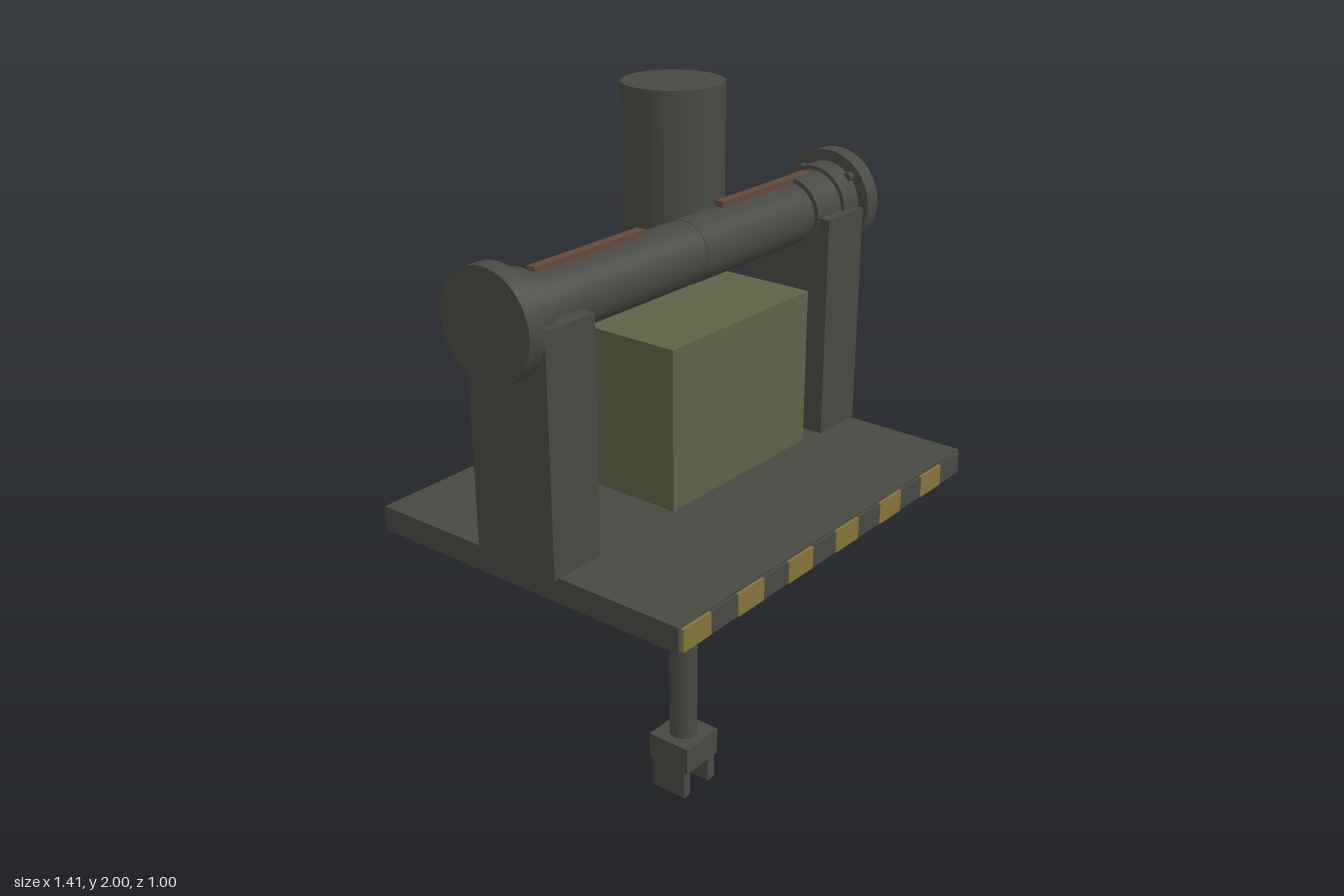
import * as THREE from 'three';

const paint = (name, color) => {
  const m = new THREE.MeshStandardMaterial({ color });
  m.name = name;
  return m;
};

export function createModel() {
  const model = new THREE.Group();
  model.name = 'hoist';
  const steel = paint('dark steel', 0x484943);
  const olive = paint('olive', 0x5e6246);
  const yellow = paint('hazard yellow', 0x83733b);
  const rust = paint('rust brown', 0x64493a);

  const add = (name, geo, mat) => {
    const mesh = new THREE.Mesh(geo, mat);
    mesh.name = name;
    model.add(mesh);
    return mesh;
  };
  // Box given by its extents on each axis
  const box = (name, mat, [x0, x1], [y0, y1], [z0, z1]) =>
    add(name, new THREE.BoxGeometry(x1 - x0, y1 - y0, z1 - z0), mat)
      .position.set((x0 + x1) / 2, (y0 + y1) / 2, (z0 + z1) / 2);
  // Upright cylinder
  const post = (name, r, x, z, y0, y1) =>
    add(name, new THREE.CylinderGeometry(r, r, y1 - y0, 40), steel)
      .position.set(x, (y0 + y1) / 2, z);
  // Cylinder lying along x
  const axle = (name, r, x0, x1, y = 1.645, z = -0.008, sides = 40) =>
    add(name, new THREE.CylinderGeometry(r, r, Math.abs(x1 - x0), sides).rotateZ(Math.PI / 2), steel)
      .position.set((x0 + x1) / 2, y, z);

  // Base plate with a striped front edge
  box('basePlate', steel, [-0.636, 0.63], [0.94, 1.01], [-0.502, 0.492]);
  for (let i = 0; i < 12; i++) {
    const x = -0.627 + i * 0.104;
    box('edgeStripe', i % 2 ? steel : yellow, [x, x + 0.104], [0.943, 1.004], [0.492, i % 2 ? 0.499 : 0.501]);
  }

  // Gearbox housing and vertical motor
  box('housing', olive, [-0.287, 0.281], [1.077, 1.51], [-0.376, 0.194]);
  post('motor', 0.144, 0.307, -0.288, 1.43, 2);

  // Drum halves
  axle('drumLeft', 0.086, 0, 0.5);
  axle('drumRight', 0.0845, -0.5, 0);

  // Uprights, bearing collars, end flanges, bolts and rust strips, mirrored
  for (const s of [-1, 1]) {
    const c = -0.004;
    const span = (a, b) => [Math.min(c + s * a, c + s * b), Math.max(c + s * a, c + s * b)];
    box('upright', steel, span(0.481, 0.648), [1.01, 1.645], [-0.134, 0.123]);
    axle('innerCollar', s > 0 ? 0.099 : 0.091, ...span(s > 0 ? 0.475 : 0.481, 0.588));
    axle('outerCollar', 0.11, ...span(0.586, 0.66));
    axle('endFlange', 0.142, ...span(0.656, 0.707));
    for (let i = 0; i < 4; i++) {
      const a = Math.PI * (0.25 + i / 2);
      axle('bolt', 0.013, ...span(0.638, 0.66), 1.645 + 0.112 * Math.sin(a), -0.008 + 0.112 * Math.cos(a), 8);
    }
    box('drumStrip', rust, span(0.158, 0.55), [1.715, 1.746], [-0.022, 0.004]);
  }

  // Lowered rod with a two-finger gripper
  post('rod', 0.041, -0.004, -0.002, 0.17, 0.945);
  box('gripperBlock', steel, [-0.075, 0.069], [0.09, 0.176], [-0.072, 0.069]);
  box('gripperFinger', steel, [-0.075, -0.046], [0, 0.092], [-0.061, 0.058]);
  box('gripperFinger', steel, [0.038, 0.069], [0, 0.092], [-0.061, 0.058]);

  return model;
}
